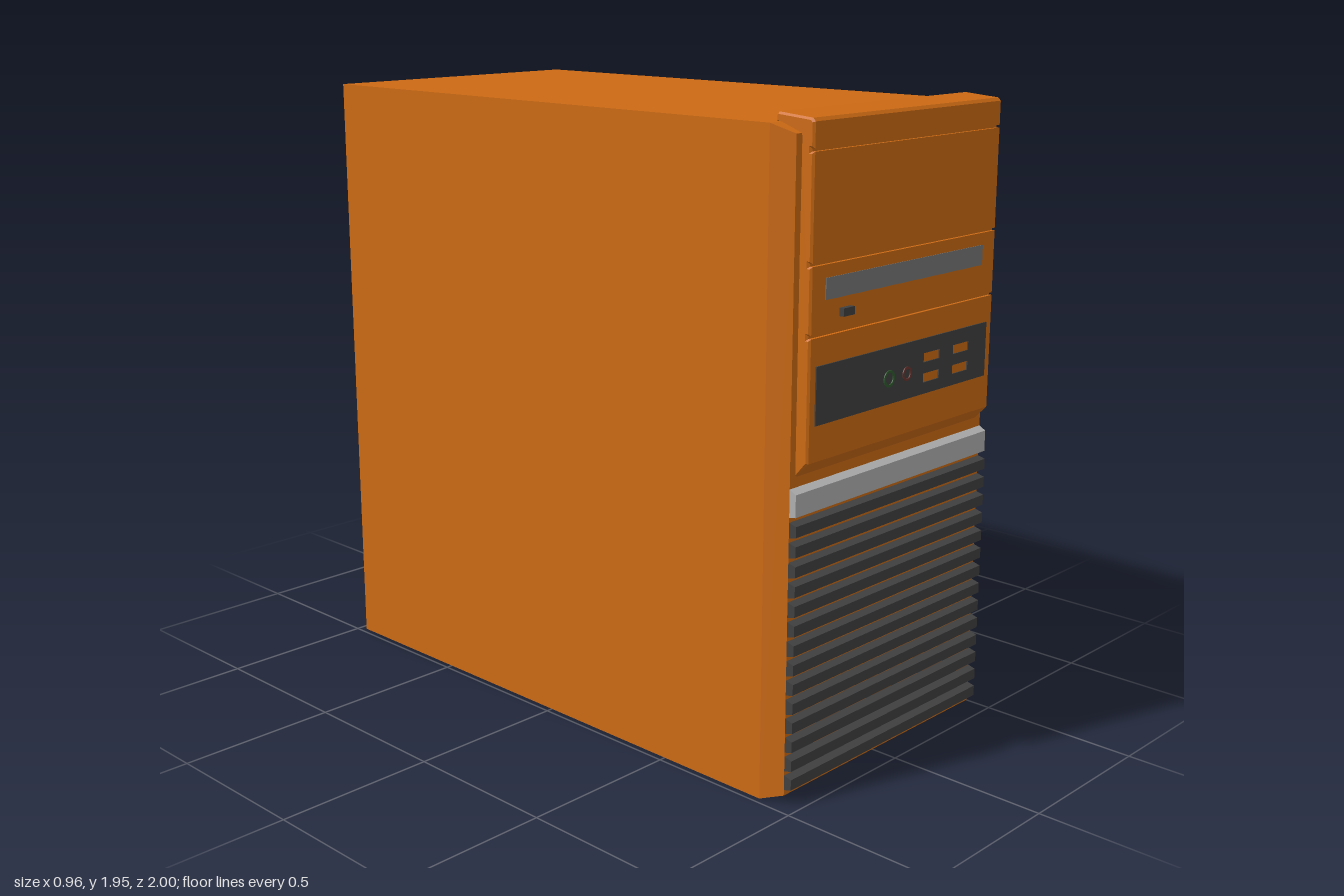
import * as THREE from 'three';

const ORANGE = 0xcc6a14, DARK = 0x404040, SILVER = 0xb0b0b0;
const mats = {};
const mat = (c) => (mats[c] ??= new THREE.MeshStandardMaterial({ color: c }));

function add(parent, name, geometry, color) {
  const m = new THREE.Mesh(geometry, mat(color));
  m.name = name;
  parent.add(m);
  return m;
}

function group(parent, name) {
  const g = new THREE.Group();
  g.name = name;
  parent.add(g);
  return g;
}

// Box given by its two corners
function box(x0, x1, y0, y1, z0, z1) {
  return new THREE.BoxGeometry(x1 - x0, y1 - y0, z1 - z0)
    .translate((x0 + x1) / 2, (y0 + y1) / 2, (z0 + z1) / 2);
}

const poly = (pts, Type = THREE.Shape) => new Type(pts.map(([x, y]) => new THREE.Vector2(x, y)));
const rect = (x0, x1, y0, y1, Type) => poly([[x0, y0], [x1, y0], [x1, y1], [x0, y1]], Type);

// Rectangle with cut or rounded corners
function roundRect(x0, x1, y0, y1, r, steps = 5) {
  const pts = [];
  [[x1 - r, y1 - r], [x0 + r, y1 - r], [x0 + r, y0 + r], [x1 - r, y0 + r]].forEach(([cx, cy], k) => {
    for (let i = 0; i <= steps; i++) {
      const a = (k + i / steps) * Math.PI / 2;
      pts.push([cx + r * Math.cos(a), cy + r * Math.sin(a)]);
    }
  });
  return pts;
}

function circle(cx, cy, r, n = 20) {
  return Array.from({ length: n }, (_, i) => {
    const a = (i / n) * Math.PI * 2;
    return [cx + r * Math.cos(a), cy + r * Math.sin(a)];
  });
}

// Flat plate between z0 and z1, with optional holes (lists of points)
function plate(outline, z0, z1, holes = []) {
  const s = poly(outline);
  s.holes = holes.map((h) => poly(h, THREE.Path));
  return new THREE.ExtrudeGeometry(s, { depth: z1 - z0, bevelEnabled: false }).translate(0, 0, z0);
}
const rectPts = (x0, x1, y0, y1) => [[x0, y0], [x1, y0], [x1, y1], [x0, y1]];

// Profile in (z, y) swept across the width, centred on x = 0
function sweep(profile, width, bevel = 0) {
  const g = new THREE.ExtrudeGeometry(poly(profile), {
    depth: width - 2 * bevel, bevelEnabled: bevel > 0, bevelSize: bevel,
    bevelThickness: bevel, bevelOffset: -bevel, bevelSegments: 1,
  });
  return g.translate(0, 0, -width / 2 + bevel).rotateY(-Math.PI / 2);
}

// Case body whose front edges are chamfered
function bodyGeometry() {
  const g = new THREE.BoxGeometry(2, 2, 2, 1, 1, 2);
  const p = g.attributes.position;
  for (let i = 0; i < p.count; i++) {
    const z = p.getZ(i), front = z > 0.5;
    p.setXYZ(i, p.getX(i) * (front ? 0.455 : 0.48),
      p.getY(i) > 0 ? (front ? 1.9 : 1.925) : (front ? 0.025 : 0),
      front ? 0.945 : z < -0.5 ? -0.955 : 0.875);
  }
  const flat = g.toNonIndexed();
  flat.computeVertexNormals();
  return flat;
}

// Curved slots of the fan grille
function fanSlots(cx, cy) {
  const slots = [];
  [[0.028, 0.05], [0.075, 0.1], [0.127, 0.154], [0.184, 0.222]].forEach(([r0, r1], ring) => {
    const gap = 0.022 / r0, n = 14, count = ring === 0 ? 2 : 4;
    for (let k = 0; k < count; k++) {
      const start = (k / count) * Math.PI * 2 + ring * 0.6 + gap / 2;
      const span = Math.PI * 2 / count - gap;
      const arc = (r, t) => [cx + r * Math.cos(start + span * t), cy + r * Math.sin(start + span * t)];
      const pts = [];
      for (let i = 0; i <= n; i++) pts.push(arc(r1, i / n));
      for (let i = n; i >= 0; i--) pts.push(arc(r0, i / n));
      slots.push(pts);
    }
  });
  return slots;
}

function buildFront(root) {
  const front = group(root, 'front');

  // Drive bay bezel with three seams and a lip over the top
  const seam = (y) => [[0.985, y - 0.004], [0.975, y - 0.004], [0.975, y + 0.004], [0.985, y + 0.004]];
  add(front, 'bezel', sweep([
    [0.94, 0.962], [0.985, 1.01], ...seam(1.36), ...seam(1.555), ...seam(1.858),
    [0.985, 1.932], [0.976, 1.941], [0.862, 1.95], [0.855, 1.944], [0.855, 1.924], [0.94, 1.89],
  ], 0.865, 0.006), ORANGE);

  // Optical drive tray and its button
  add(front, 'driveTray', box(-0.37, 0.365, 1.455, 1.515, 0.98, 0.987), 0x777777);
  add(front, 'driveButton', box(-0.308, -0.26, 1.402, 1.425, 0.98, 1), DARK);

  // Port panel with four open sockets and two audio jacks
  const sockets = [];
  for (const x of [0.085, 0.23])
    for (const y of [1.147, 1.207]) sockets.push(rectPts(x, x + 0.078, y, y + 0.027));
  add(front, 'portPanel', plate(rectPts(-0.405, 0.4, 1.113, 1.278), 0.982, 0.989, sockets), DARK);
  for (const [x, r, c] of [[-0.08, 0.025, 0x2f5a2f], [0.004, 0.021, 0x6a3530]])
    add(front, 'audioJack', plate(circle(x, 1.188, r), 0.985, 0.992, [circle(x, 1.188, r * 0.7)]), c);

  // Bright strip and the slats under it
  add(front, 'trimStrip', sweep([[0.94, 0.855], [0.967, 0.86], [0.967, 0.925], [0.94, 0.94]], 0.91), SILVER);
  const grille = group(front, 'grille');
  for (let i = 0; i < 14; i++) {
    const y = 0.065 + i * 0.058;
    add(grille, 'slat', sweep([[0.94, y - 0.024], [0.97, y - 0.016], [0.97, y + 0.016], [0.94, y + 0.024]], 0.91), DARK);
  }
}

function buildBack(root) {
  const back = group(root, 'back');

  // Rear wall with fan slots
  add(back, 'rearWall', plate(rectPts(-0.48, 0.48, 0, 1.925), -0.975, -0.955, fanSlots(-0.19, 0.795)), ORANGE);
  add(back, 'fanRecess', plate(circle(-0.19, 0.795, 0.23, 32), -0.958, -0.956), 0x5a3008);

  // Power supply: dark rim, grey plate with a field of staggered vent holes
  const power = group(back, 'powerSupply');
  const edge = roundRect(-0.41, 0.402, 1.377, 1.772, 0.04);
  add(power, 'powerRim', plate(roundRect(-0.43, 0.422, 1.357, 1.792, 0.055), -0.979, -0.974, [edge]), DARK);
  const vents = [];
  for (let c = 0; c < 13; c++)
    for (let r = 0; r < 15; r++)
      vents.push(circle(0.01 - c * 0.031, 1.405 + r * 0.023 + (c % 2) * 0.0115, 0.0095, 6));
  add(power, 'powerPlate', plate(edge, -0.977, -0.974, vents), 0x999999);

  // Mains socket
  const hex = (w, h, k) => [[-w, -h + k], [-w + k, -h], [w - k, -h], [w, -h + k], [w, h - k], [w - k, h], [-w + k, h], [-w, h - k]]
    .map(([x, y]) => [0.24 + x, 1.662 + y]);
  add(power, 'mainsSocket', plate(hex(0.11, 0.048, 0.035), -1, -0.975, [hex(0.06, 0.03, 0.015)]), DARK);
  add(power, 'socketFloor', plate(hex(0.06, 0.03, 0.015), -0.98, -0.976), 0x8a4a10);
  for (const x of [0.21, 0.24, 0.27])
    add(power, 'socketPin', box(x - 0.005, x + 0.005, 1.65, 1.674, -0.995, -0.978), DARK);

  // Connector panel: grey frame around coloured fields
  const io = group(back, 'connectorPanel');
  add(io, 'panelFrame', plate(rectPts(0.18, 0.42, 0.32, 1.22), -0.985, -0.975, [rectPts(0.193, 0.407, 0.333, 1.207)]), 0x8a8a8a);
  [['green', 1.08, 1.207, 0x10b010], ['red', 0.7, 1.08, 0xb81010], ['violet', 0.61, 0.7, 0x6058b0],
    ['blue', 0.455, 0.61, 0x0808b8], ['navy', 0.333, 0.455, 0x0a0a60]]
    .forEach(([name, y0, y1, c]) => add(io, name + 'Field', box(0.193, 0.407, y0, y1, -0.981, -0.974), c));

  // Round ports
  for (const [x, r] of [[0.345, 0.05], [0.237, 0.034]]) {
    add(io, 'roundPort', plate(circle(x, 1.145, r), -0.984, -0.98, [circle(x, 1.145, r * 0.82)]), 0x6a3a10);
    add(io, 'roundPortFloor', plate(circle(x, 1.145, r * 0.82), -0.982, -0.98), 0x9a5212);
  }

  // Upright connectors with tapered outlines
  for (const [x, y, h, w, z] of [[0.362, 0.865, 0.095, 0.02, -0.987], [0.245, 0.97, 0.055, 0.018, -0.987], [0.25, 0.798, 0.046, 0.02, -1]]) {
    const outline = (k) => [[-w, -h * 0.85], [w, -h], [w, h], [-w, h * 0.85]].map(([a, b]) => [x + a * k, y + b * (1 - (1 - k) * w / h)]);
    add(io, 'connectorShell', plate(outline(1), z, -0.98, [outline(0.65)]), ORANGE);
    add(io, 'connectorFloor', plate(outline(0.65), -0.983, -0.98), 0x7a4210);
  }
}

export function createModel() {
  const root = new THREE.Group();
  root.name = 'computerTower';
  add(root, 'caseBody', bodyGeometry(), ORANGE);
  buildFront(root);
  buildBack(root);
  return root;
}
